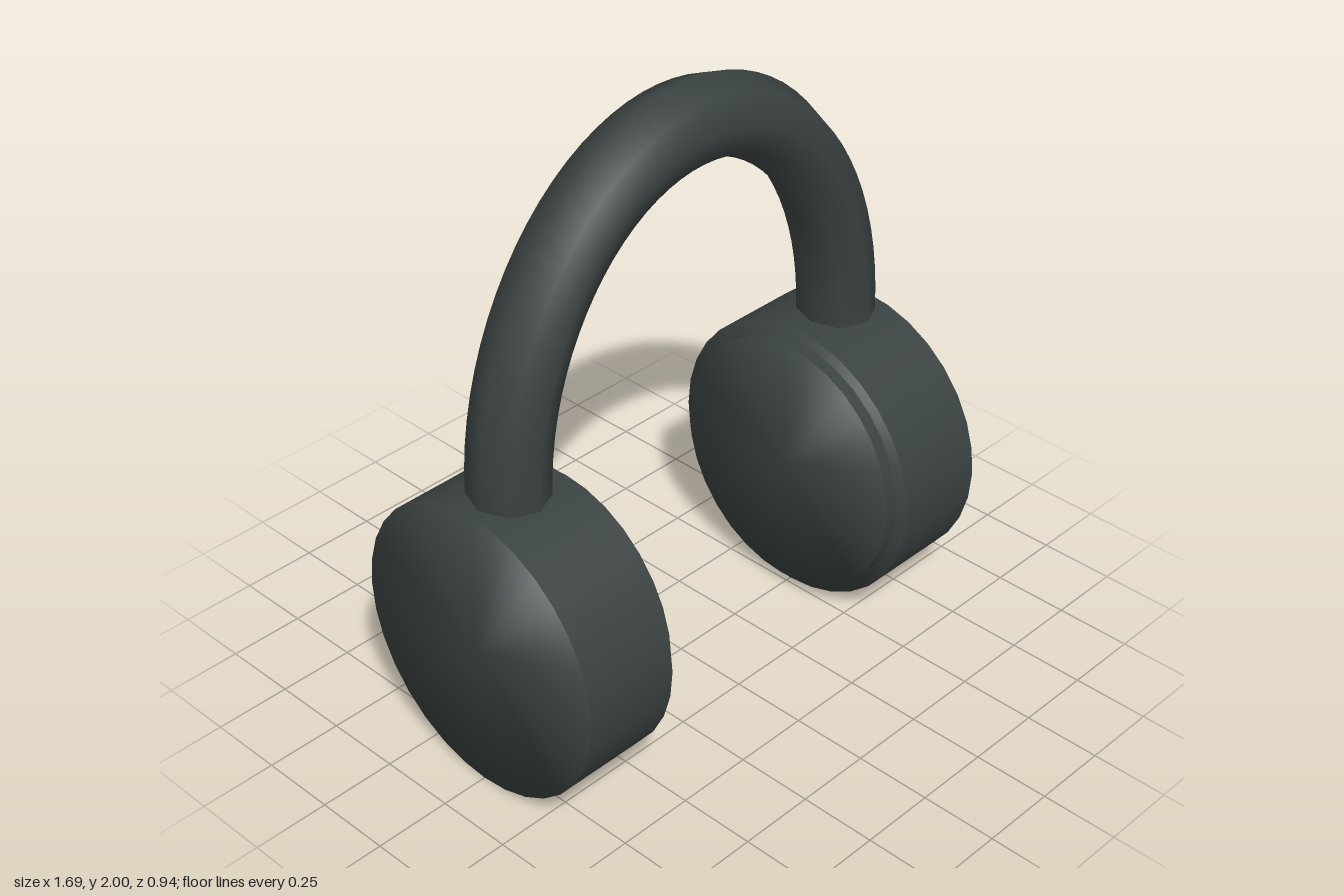
import * as THREE from 'three';
import { mergeVertices } from 'three/addons/utils/BufferGeometryUtils.js';

const CUP_Y = 0.485;
const BAND_Y = 0.97;

// Disc lying along x from x0 to x1, slightly oval, with soft shading on its flat faces
function discGeometry(x0, x1, ry, rz) {
  const g = new THREE.CylinderGeometry(1, 1, x1 - x0, 32);
  g.rotateZ(Math.PI / 2);
  const p = g.attributes.position, n = g.attributes.normal;
  const v = new THREE.Vector3();
  for (let i = 0; i < p.count; i++) {
    if (Math.abs(n.getX(i)) < 0.5) continue;
    v.set(Math.sign(n.getX(i)), p.getY(i), p.getZ(i)).normalize();
    n.setXYZ(i, v.x, v.y, v.z);
  }
  g.scale(1, ry, rz);
  g.translate((x0 + x1) / 2, CUP_Y, 0);
  return g;
}

// Half-oval arch with an eight-sided section, a little thicker at the crown
function bandGeometry() {
  const g = new THREE.TorusGeometry(1, 0.1, 8, 40, Math.PI);
  const p = g.attributes.position;
  for (let i = 0; i < p.count; i++) {
    const x = p.getX(i), y = p.getY(i);
    const r = Math.hypot(x, y), c = (r - 1) / 0.1;
    p.setXYZ(i,
      (0.697 + 0.117 * c) * x / r,
      BAND_Y + (0.9 + 0.13 * c) * y / r,
      p.getZ(i) * 1.3);
  }
  g.deleteAttribute('uv');
  g.deleteAttribute('normal');
  const smooth = mergeVertices(g, 1e-4);
  smooth.computeVertexNormals();
  return smooth;
}

export function createModel() {
  const group = new THREE.Group();
  const charcoal = new THREE.MeshStandardMaterial({ color: 0x3a4241 });
  charcoal.name = 'charcoal';

  const add = (name, geometry) => {
    const mesh = new THREE.Mesh(geometry, charcoal);
    mesh.name = name;
    group.add(mesh);
    return mesh;
  };

  add('headband', bandGeometry());

  for (const [side, s] of [['left', 1], ['right', -1]]) {
    const span = (a, b) => (s > 0 ? [a, b] : [-b, -a]);
    // Ear cup and the thinner cushion on its inner face
    add(side + 'EarCup', discGeometry(...span(0.52, 0.843), 0.48, 0.468));
    add(side + 'EarCushion', discGeometry(...span(0.478, 0.53), 0.438, 0.422));
    // Closed lower end of the band
    const end = new THREE.CircleGeometry(1, 8);
    end.rotateX(Math.PI / 2);
    end.scale(0.117, 1, 0.13);
    add(side + 'BandEnd', end).position.set(s * 0.697, BAND_Y, 0);
  }
  return group;
}
